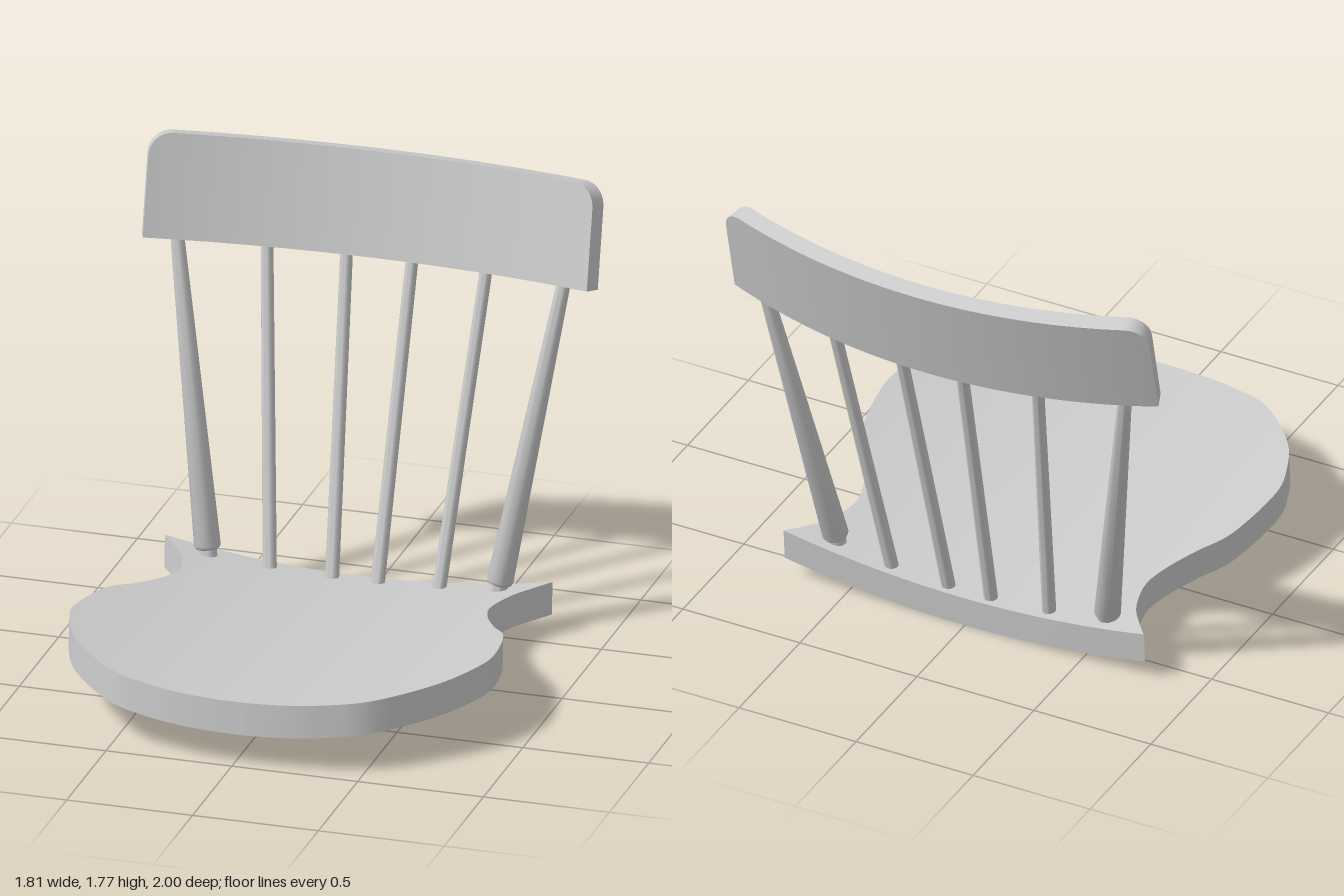
import * as THREE from 'three';
import { toCreasedNormals } from 'three/addons/utils/BufferGeometryUtils.js';

const material = new THREE.MeshStandardMaterial({ color: 0xcccccc });

// Moves every vertex of a geometry by a rule, then keeps only the hard edges sharp.
function reshape(geometry, rule) {
  const pos = geometry.attributes.position;
  const v = new THREE.Vector3();
  for (let i = 0; i < pos.count; i++) {
    rule(v.fromBufferAttribute(pos, i));
    pos.setXYZ(i, v.x, v.y, v.z);
  }
  return toCreasedNormals(geometry, 0.7);
}

function part(name, geometry) {
  const mesh = new THREE.Mesh(geometry, material);
  mesh.name = name;
  return mesh;
}

// Height of the seat underside: tilted back and dished across.
const THICK = 0.13;
const underside = (x, z) => 0.049 + 0.081 * z + 0.12 * x * x;

// Seat: a slab whose half width follows the outline from front to back.
function makeSeat() {
  const outline = new THREE.SplineCurve([
    [0.05, 0.993], [0.2, 0.982], [0.34, 0.955], [0.52, 0.885], [0.71, 0.69], [0.8, 0.51],
    [0.832, 0.35], [0.79, 0.085], [0.71, -0.05], [0.645, -0.18], [0.618, -0.3],
    [0.652, -0.44], [0.71, -0.53], [0.77, -0.605],
  ].map(([x, z]) => new THREE.Vector2(x, z)));
  const slab = new THREE.BoxGeometry(2, 1, 1, 24, 1, 72);
  return part('seat', reshape(slab, (v) => {
    const p = outline.getPointAt(THREE.MathUtils.clamp(0.5 - v.z, 0, 1));
    const up = v.y + 0.5;
    const x = v.x * p.x;
    v.set(x, underside(x, p.y) + THICK * up, p.y - 0.01 * up);
  }));
}

// Top rail: a board bent along an arc, rounded at its upper corners and leaned back.
function makeTopRail() {
  const outer = 2.67, thick = 0.07, height = 0.41, half = 0.346, corner = 0.09;
  const board = new THREE.BoxGeometry(2, 1, 1, 64, 1, 1);
  const rail = part('topRail', reshape(board, (v) => {
    const angle = half * Math.sin(v.x * Math.PI / 2);
    const d = Math.max(0, (Math.abs(angle) - half) * outer + corner);
    const top = height - corner + Math.sqrt(Math.max(0, corner * corner - d * d));
    const r = outer - thick * (v.z + 0.5);
    v.set(r * Math.sin(angle), top * (v.y + 0.5), outer - r * Math.cos(angle));
  }));
  rail.position.set(0, 1.33, -0.91);
  rail.rotation.x = -0.227;
  return rail;
}

// Turned rod between two points, following a [radius, distance] profile.
function makeRod(name, from, to, rBottom, rTop, shoulder) {
  const axis = to.clone().sub(from);
  const length = axis.length();
  const profile = [[0, 0]];
  if (shoulder) profile.push([0.034, 0], [0.034, 0.045], [rBottom - 0.006, 0.05], [rBottom, 0.062]);
  else profile.push([rBottom, 0]);
  profile.push([rTop, length], [0, length]);
  const lathe = new THREE.LatheGeometry(profile.map(([r, y]) => new THREE.Vector2(r, y)), 24);
  const rod = part(name, toCreasedNormals(lathe, 0.7));
  rod.position.copy(from);
  rod.quaternion.setFromUnitVectors(new THREE.Vector3(0, 1, 0), axis.normalize());
  return rod;
}

export function createModel() {
  const group = new THREE.Group();
  group.name = 'chairSeatAndBack';
  group.add(makeSeat(), makeTopRail());

  // Spindles, mirrored: bottom x, bottom z, top x, top y, top z, radii, shoulder.
  const spindles = [
    ['innerSpindle', 0.09, -0.56, 0.131, 1.37, -0.883, 0.027, 0.024, false],
    ['middleSpindle', 0.335, -0.555, 0.437, 1.375, -0.847, 0.027, 0.024, false],
    ['outerSpindle', 0.572, -0.54, 0.772, 1.4, -0.77, 0.051, 0.026, true],
  ];
  for (const side of [1, -1]) {
    for (const [name, x0, z0, x1, y1, z1, r0, r1, shoulder] of spindles) {
      const from = new THREE.Vector3(side * x0, underside(x0, z0) + THICK - 0.025, z0);
      const to = new THREE.Vector3(side * x1, y1, z1);
      group.add(makeRod(name + (side > 0 ? 'Left' : 'Right'), from, to, r0, r1, shoulder));
    }
  }
  return group;
}
